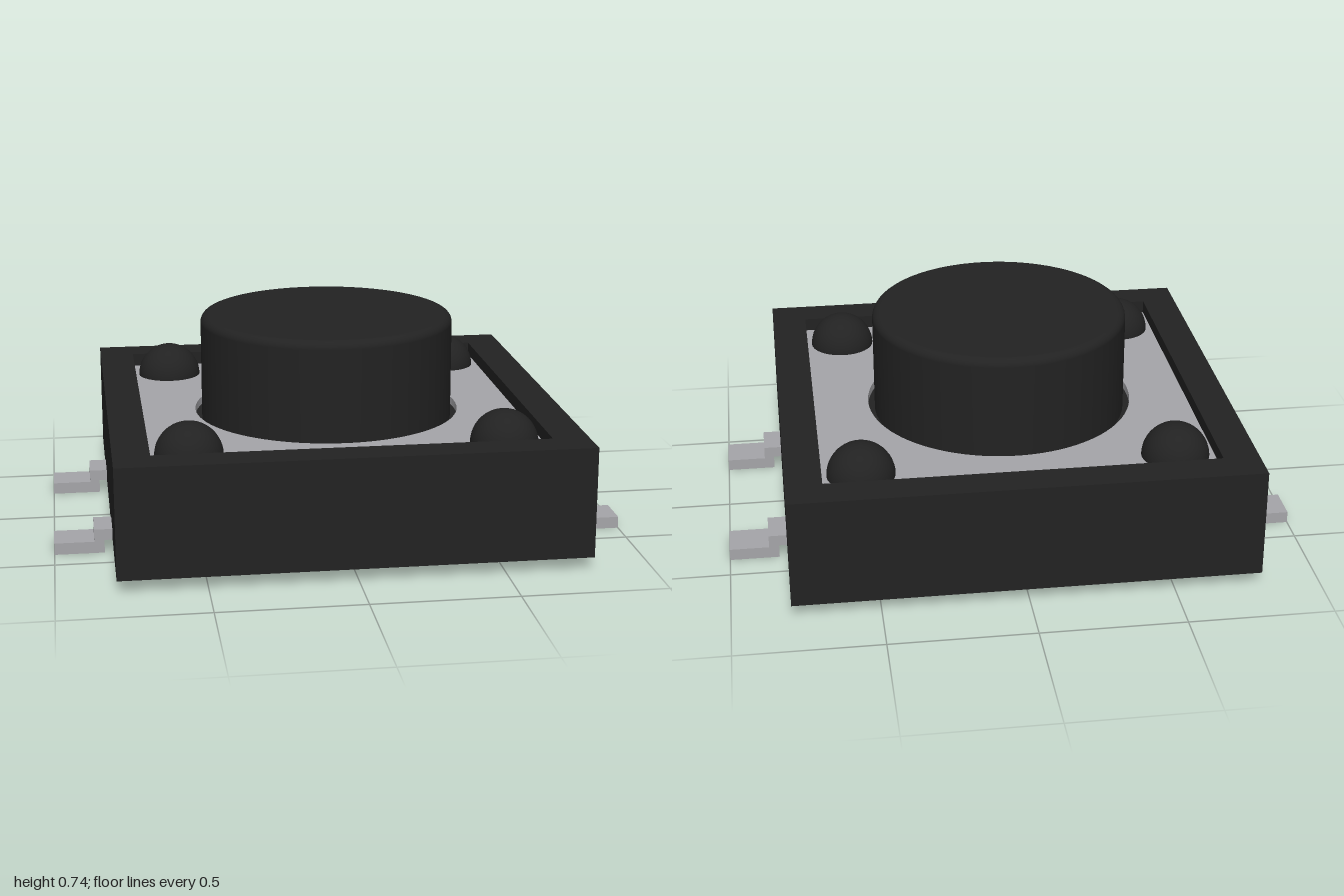
import * as THREE from 'three';

const black = new THREE.MeshStandardMaterial({ color: 0x222222 });
black.name = 'black plastic';
const metal = new THREE.MeshStandardMaterial({ color: 0xa5a5a9 });
metal.name = 'grey metal';

const BOTTOM = 0.045, RIM = 0.43, PLATE = 0.383, FLOOR = 0.355;
const HALF = 0.8, INNER = 0.675;

function add(parent, name, geometry, material, x = 0, y = 0, z = 0) {
  const mesh = new THREE.Mesh(geometry, material);
  mesh.name = name;
  mesh.position.set(x, y, z);
  parent.add(mesh);
  return mesh;
}

function square(half, PathType = THREE.Shape) {
  const path = new PathType();
  path.moveTo(-half, -half);
  path.lineTo(half, -half);
  path.lineTo(half, half);
  path.lineTo(-half, half);
  path.closePath();
  return path;
}

// Extrudes a plan outline upward from y = 0
function slab(shape, height) {
  return new THREE.ExtrudeGeometry(shape, { depth: height, bevelEnabled: false, curveSegments: 48 })
    .rotateX(-Math.PI / 2);
}

export function createModel() {
  const model = new THREE.Group();
  model.name = 'pushButtonSwitch';

  // Housing: base block with a raised rim around the recess
  const housing = new THREE.Group();
  housing.name = 'housing';
  model.add(housing);
  add(housing, 'base', new THREE.BoxGeometry(HALF * 2, FLOOR - BOTTOM, HALF * 2), black, 0, (FLOOR + BOTTOM) / 2);
  const rim = square(HALF);
  rim.holes.push(square(INNER, THREE.Path));
  add(housing, 'rim', slab(rim, RIM - FLOOR), black, 0, FLOOR);

  // Metal cover plate with a clearance hole for the button
  const cover = square(INNER);
  const hole = new THREE.Path();
  hole.absarc(0, 0, 0.477, 0, Math.PI * 2, true);
  cover.holes.push(hole);
  add(model, 'coverPlate', slab(cover, PLATE - FLOOR), metal, 0, FLOOR);

  // Round button with a softened top edge
  const r = 0.453, top = 0.735, fillet = 0.03;
  const profile = [new THREE.Vector2(r, FLOOR)];
  for (let i = 0; i <= 6; i++) {
    const a = (i / 6) * Math.PI / 2;
    profile.push(new THREE.Vector2(r - fillet + fillet * Math.cos(a), top - fillet + fillet * Math.sin(a)));
  }
  profile.push(new THREE.Vector2(0, top));
  add(model, 'button', new THREE.LatheGeometry(profile, 64), black);

  // Corner rivets and bent solder pins
  const dome = new THREE.SphereGeometry(0.117, 32, 12, 0, Math.PI * 2, 0, Math.PI / 2);
  const pinShape = new THREE.Shape([
    [0.79, 0.085], [0.79, 0.046], [0.828, 0.046], [0.828, 0],
    [1, 0], [1, 0.041], [0.863, 0.041], [0.863, 0.085],
  ].map(([x, y]) => new THREE.Vector2(x, y)));
  const pin = new THREE.ExtrudeGeometry(pinShape, { depth: 0.132, bevelEnabled: false }).translate(0, 0, -0.066);
  for (const sx of [1, -1]) {
    for (const sz of [1, -1]) {
      add(model, 'rivet', dome, black, sx * 0.54, PLATE, sz * 0.54);
      const leg = add(model, 'pin', pin, metal, 0, 0, sz * 0.334);
      if (sx < 0) leg.rotation.y = Math.PI;
    }
  }
  return model;
}
